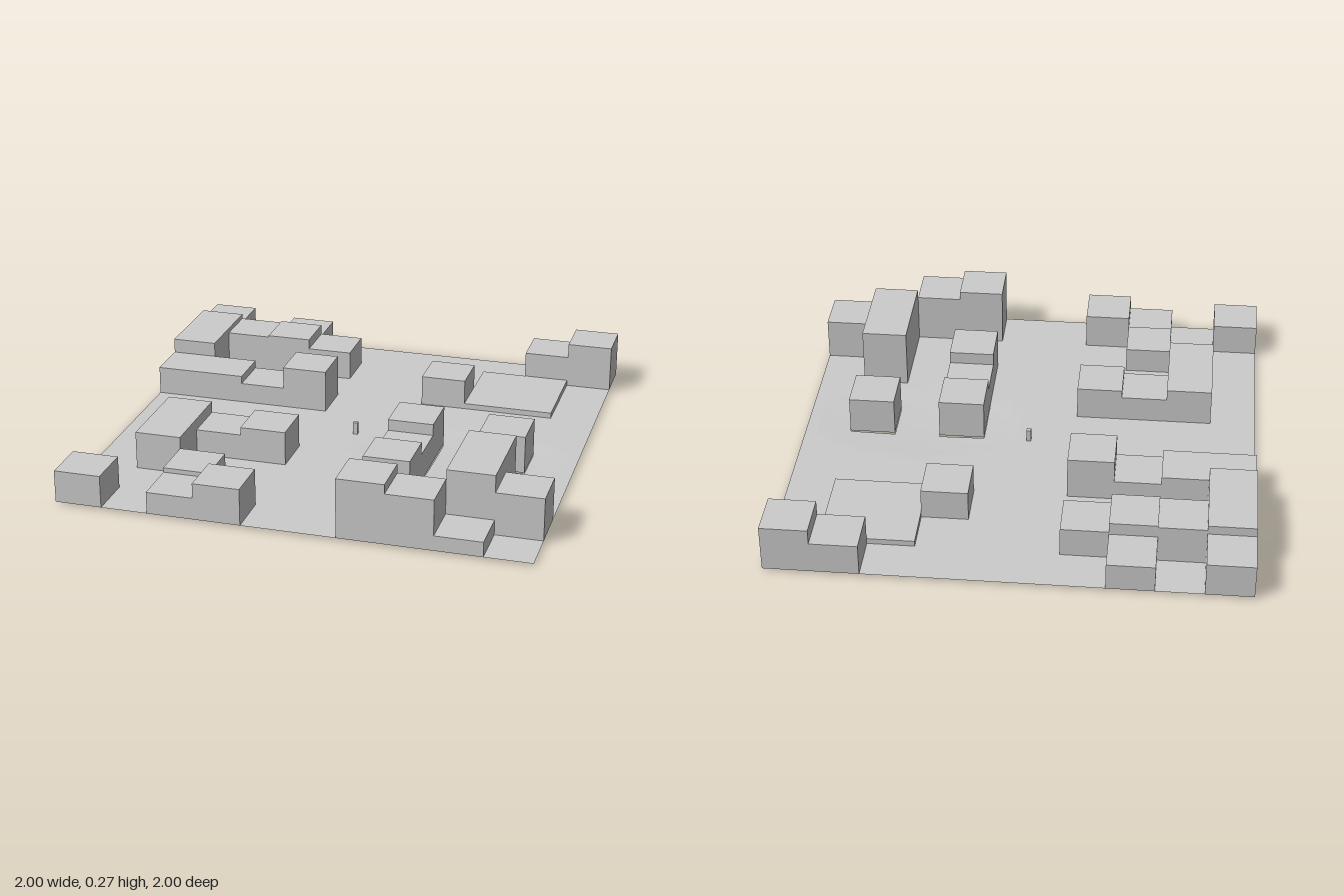
import * as THREE from 'three';

const CELL = 0.2;      // city grid pitch
const GROUND = 0.01;   // street level
const material = new THREE.MeshStandardMaterial({ color: 0xcccccc, flatShading: true, side: THREE.DoubleSide });

// Blocks on the 10 x 10 grid: first column, first row, columns wide, rows deep, roof height
const BLOCKS = [
  // back left quarter
  [0, 0, 1, 1, 0.16], [0, 1, 1, 2, 0.2], [0, 3, 2, 1, 0.135],
  [2, 0, 1, 1, 0.13], [1, 1, 1, 1, 0.178], [2, 1, 1, 1, 0.185], [3, 1, 1, 1, 0.14],
  [2, 3, 1, 1, 0.1], [3, 3, 1, 1, 0.2],
  // back right quarter, with a low plaza
  [8, 0, 1, 1, 0.15], [9, 0, 1, 1, 0.215], [6, 2, 1, 1, 0.145], [7, 1, 2, 2, 0.035],
  // front left quarter
  [1, 6, 1, 2, 0.175], [2, 6, 1, 1, 0.125], [3, 6, 1, 1, 0.16],
  [2, 8, 1, 1, 0.125], [2, 9, 1, 1, 0.105], [3, 9, 1, 1, 0.17], [0, 9, 1, 1, 0.15],
  // front right quarter
  [6, 5, 1, 1, 0.185], [6, 6, 1, 1, 0.135], [6, 7, 1, 1, 0.19], [8, 5, 1, 1, 0.175],
  [8, 7, 1, 2, 0.27], [9, 8, 1, 1, 0.195],
  [6, 9, 1, 1, 0.27], [7, 9, 1, 1, 0.23], [8, 9, 1, 1, 0.075],
];

// Hollow block: walls and roof, open underneath
function hollowBlock([col, row, cols, rows, top]) {
  const h = top - GROUND;
  const geo = new THREE.BoxGeometry(cols * CELL, h, rows * CELL);
  const faces = Array.from(geo.index.array);
  faces.splice(18, 6); // bottom face
  geo.setIndex(faces);
  geo.clearGroups();
  const mesh = new THREE.Mesh(geo, material);
  mesh.position.set(-1 + (col + cols / 2) * CELL, GROUND + h / 2, -1 + (row + rows / 2) * CELL);
  mesh.name = top < 0.05 ? 'plaza' : 'building';
  return mesh;
}

// Street sheet with openings under the blocks and a very shallow dip
function streetGeometry() {
  const SUB = 4, n = 10 * SUB;
  const geo = new THREE.PlaneGeometry(2, 2, n, n).rotateX(-Math.PI / 2);
  const pos = geo.attributes.position;
  for (let i = 0; i < pos.count; i++) {
    const r = Math.hypot((pos.getX(i) - 0.5) / 0.47, (pos.getZ(i) - 0.1) / 0.27);
    pos.setY(i, GROUND - (r < 1 ? GROUND * (1 - r * r) : 0));
  }
  const built = (c, r) => BLOCKS.some(([bc, br, w, d]) => c >= bc && c < bc + w && r >= br && r < br + d);
  const all = geo.index.array, kept = [];
  for (let r = 0; r < n; r++) for (let c = 0; c < n; c++) {
    if (built(Math.floor(c / SUB), Math.floor(r / SUB))) continue;
    const start = (r * n + c) * 6;
    kept.push(...all.slice(start, start + 6));
  }
  geo.setIndex(kept);
  geo.computeVertexNormals();
  return geo;
}

export function createModel() {
  const model = new THREE.Group();
  model.name = 'cityBlockMap';

  const street = new THREE.Mesh(streetGeometry(), material);
  street.name = 'street';
  model.add(street);

  const buildings = new THREE.Group();
  buildings.name = 'buildings';
  BLOCKS.forEach((b) => buildings.add(hollowBlock(b)));
  model.add(buildings);

  // Small marker at the centre
  const post = new THREE.Mesh(new THREE.BoxGeometry(0.02, 0.055, 0.02), material);
  post.position.y = GROUND + 0.0275;
  post.name = 'centrePost';
  model.add(post);

  return model;
}
